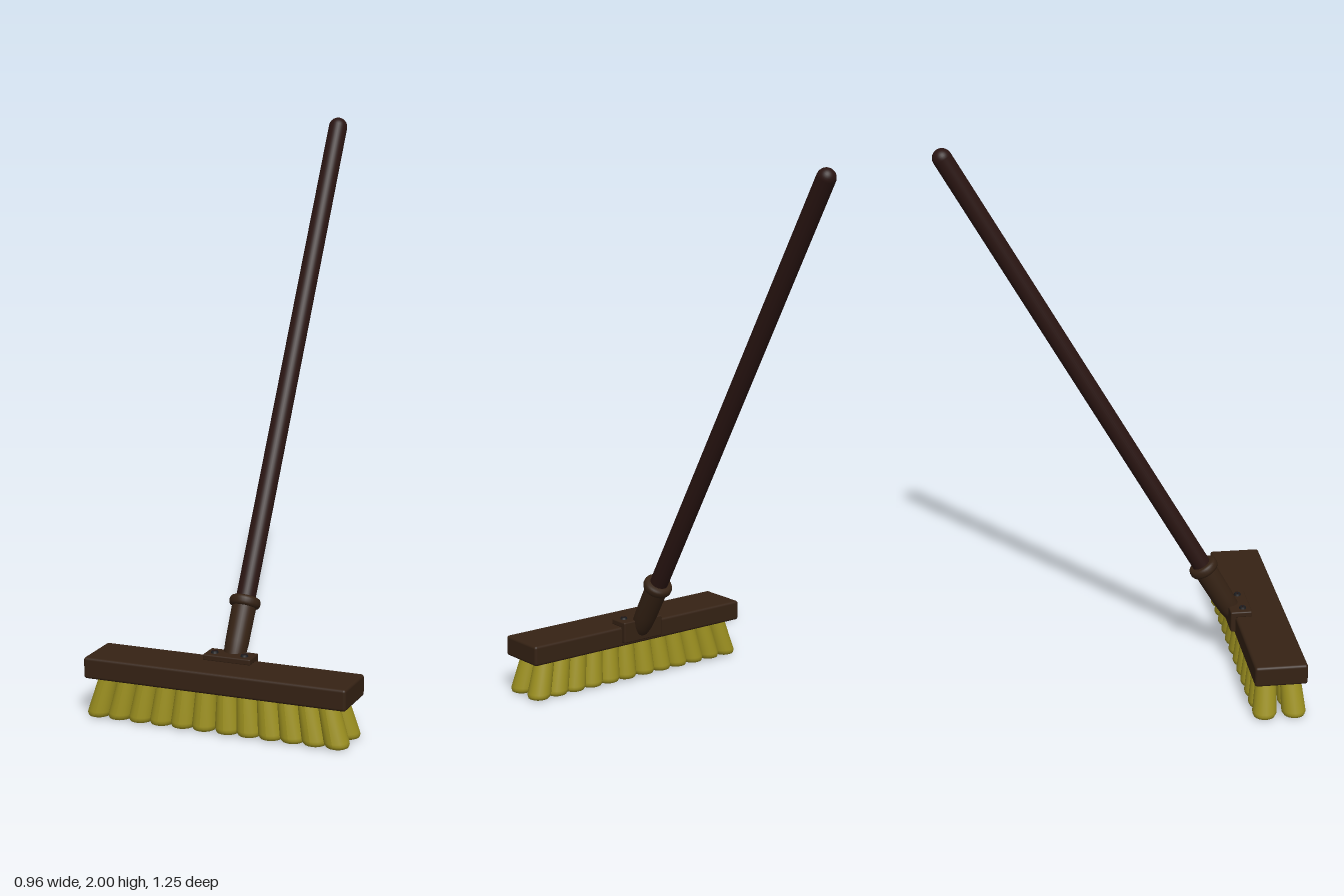
import * as THREE from 'three';
import { RoundedBoxGeometry } from 'three/addons/geometries/RoundedBoxGeometry.js';

const TILT = -Math.PI / 6;
const mat = (color) => new THREE.MeshStandardMaterial({ color });
const points = (list) => list.map(([x, y]) => new THREE.Vector2(x, y));

// One bundle of bristles, sheared so that it leans out by (dx, dz) at the floor
function tuftGeometry(dx, dz) {
  const geo = new THREE.LatheGeometry(points([
    [0, 0], [0.028, 0], [0.038, 0.004], [0.043, 0.013], [0.0435, 0.022], [0.0365, 0.145],
  ]), 20);
  const pos = geo.attributes.position;
  for (let i = 0; i < pos.count; i++) {
    const lean = 1 - pos.getY(i) / 0.145;
    pos.setX(i, pos.getX(i) + dx * lean);
    pos.setZ(i, pos.getZ(i) + dz * lean);
  }
  geo.computeVertexNormals();
  return geo;
}

export function createModel() {
  const model = new THREE.Group();
  const wood = mat(0x352214);
  const handleWood = mat(0x2a1512);
  const straw = mat(0x9c9020);
  const metal = mat(0x1c1c1e);

  const add = (name, geo, material, x, y, z, parent = model) => {
    const mesh = new THREE.Mesh(geo, material);
    mesh.name = name;
    mesh.position.set(x, y, z);
    parent.add(mesh);
    return mesh;
  };

  // Head block
  add('headBlock', new RoundedBoxGeometry(0.962, 0.076, 0.19, 3, 0.01), wood, 0, 0.177, 0.525);

  // Bristles: two rows, fanning out from the middle
  const bristles = new THREE.Group();
  bristles.name = 'bristles';
  model.add(bristles);
  for (const side of [-1, 1]) {
    for (const row of [-1, 1]) {
      for (let i = 0; i < 6; i++) {
        const top = 0.0385 + 0.073 * i;
        const bottom = 0.0435 + 0.0795 * i;
        add('bristleTuft', tuftGeometry(side * (bottom - top), row * 0.011), straw,
          side * top, 0, 0.527 + row * 0.043, bristles);
      }
    }
  }

  // Bracket folded over the rear top edge of the block, with two screws
  add('bracketTop', new RoundedBoxGeometry(0.176, 0.022, 0.08, 2, 0.005), wood, 0, 0.224, 0.452);
  add('bracketBack', new RoundedBoxGeometry(0.176, 0.08, 0.022, 2, 0.005), wood, 0, 0.195, 0.423);
  for (const side of [-1, 1]) {
    add('screw', new THREE.CylinderGeometry(0.011, 0.014, 0.008, 16), metal, side * 0.055, 0.238, 0.461);
    add('screwSlot', new THREE.BoxGeometry(0.018, 0.002, 0.003), handleWood, side * 0.055, 0.2425, 0.461);
  }

  // Tilted pole assembly, measured along its own axis from the socket foot
  const pole = new THREE.Group();
  pole.name = 'pole';
  pole.position.set(0, 0.19, 0.434);
  pole.rotation.x = TILT;
  model.add(pole);

  // Socket with a rounded foot and a flared neck
  add('socket', new THREE.LatheGeometry(points([
    [0, -0.022], [0.02, -0.016], [0.032, 0], [0.038, 0.03], [0.041, 0.08], [0.0425, 0.215],
  ]), 32), wood, 0, 0, 0, pole);

  // Rounded collar at the socket mouth
  add('collar', new THREE.LatheGeometry(points([
    [0.03, 0.206], [0.044, 0.206], [0.051, 0.21], [0.0545, 0.218], [0.0545, 0.23],
    [0.051, 0.238], [0.044, 0.242], [0.03, 0.242],
  ]), 32), wood, 0, 0, 0, pole);

  // Long handle with a domed end
  const dome = [];
  for (let i = 0; i <= 8; i++) {
    const a = (i / 8) * Math.PI / 2;
    dome.push([0.034 * Math.cos(a), 2.051 + 0.034 * Math.sin(a)]);
  }
  add('handle', new THREE.LatheGeometry(points([[0.034, 0.2], ...dome]), 32), handleWood, 0, 0, 0, pole);

  return model;
}
